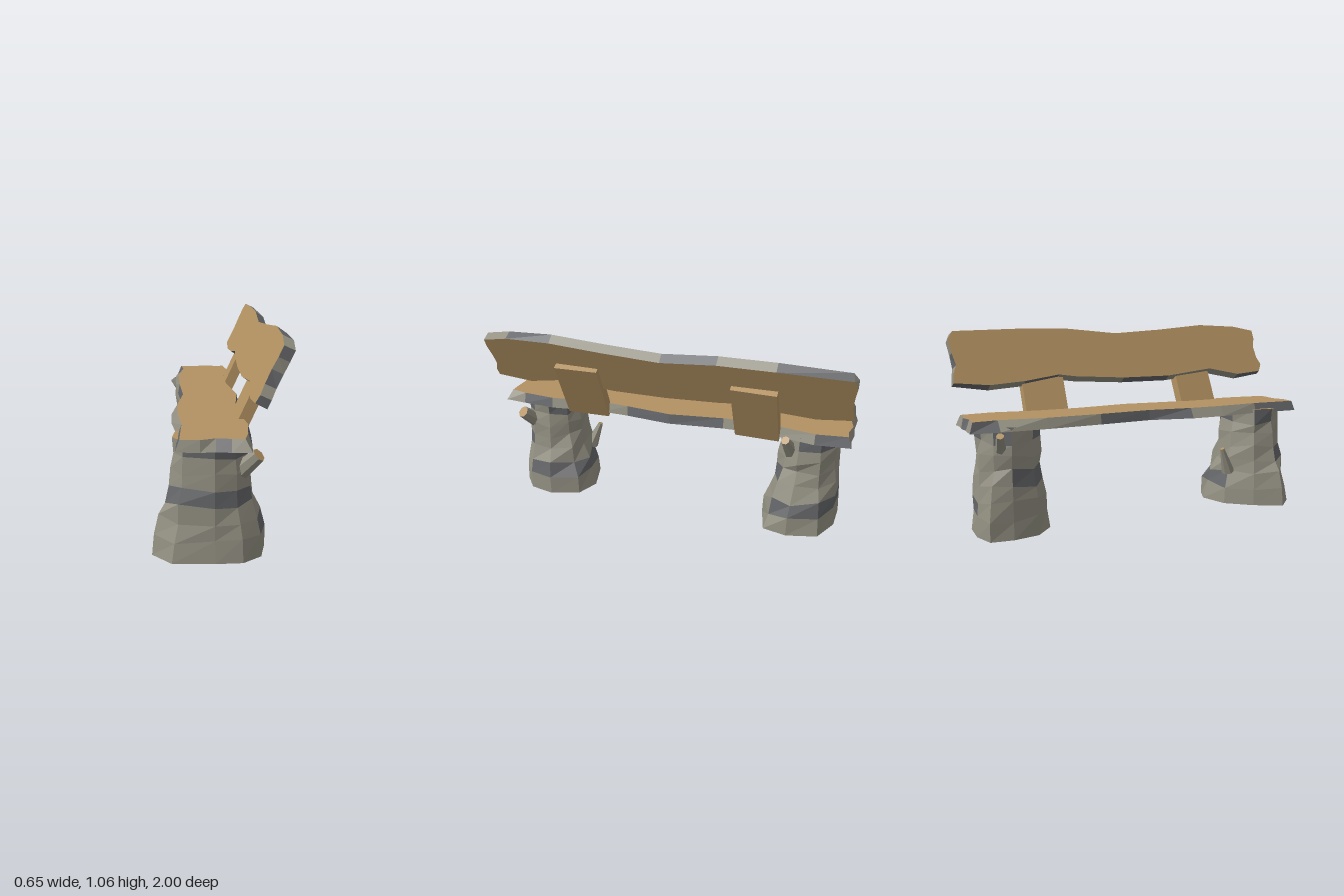
import * as THREE from 'three';

const mat = (color) => new THREE.MeshStandardMaterial({ color, flatShading: true, side: THREE.DoubleSide });
const wood = mat(0xb39262);
const bark = mat(0x949183);
const darkBark = mat(0x66676a);

// Small repeatable noise in -1..1
const noise = (n) => {
  const s = Math.sin(n * 127.1 + 3.7) * 43758.5453;
  return (s - Math.floor(s)) * 2 - 1;
};

function facetMesh(name, corners, material) {
  const geo = new THREE.BufferGeometry().setFromPoints(corners);
  geo.computeVertexNormals();
  const mesh = new THREE.Mesh(geo, material);
  mesh.name = name;
  return mesh;
}

// Joins stacked rings with bark quads, dark where isDark(band, side) says so
function barkWall(group, rings, isDark) {
  const light = [], dark = [];
  for (let k = 0; k < rings.length - 1; k++) {
    const lo = rings[k], hi = rings[k + 1], n = lo.length;
    for (let i = 0; i < n; i++) {
      const j = (i + 1) % n;
      (isDark(k, i) ? dark : light).push(lo[i], lo[j], hi[j], lo[i], hi[j], hi[i]);
    }
  }
  group.add(facetMesh('bark', light, bark), facetMesh('darkBark', dark, darkBark));
}

function cap(name, ring, up, material) {
  const flat = ring.map((p) => new THREE.Vector2(p.x, -p.z));
  const corners = [];
  for (const [a, b, c] of THREE.ShapeUtils.triangulateShape(flat, [])) {
    corners.push(ring[a], ring[up ? b : c], ring[up ? c : b]);
  }
  return facetMesh(name, corners, material);
}

// Live-edge plank; outline points are [x, z, extra x and z on the lower face]
function plank(name, outline, thickness, underside, isDark) {
  const group = new THREE.Group();
  group.name = name;
  const h = thickness / 2;
  const top = outline.map(([x, z]) => new THREE.Vector3(x, h, z));
  const low = outline.map(([x, z, dx = 0, dz = 0]) => new THREE.Vector3(x + dx, -h, z + dz));
  barkWall(group, [low, top], isDark);
  group.add(cap('upperFace', top, true, wood), cap('lowerFace', low, false, underside));
  return group;
}

// Stump flaring from a small round top to an irregular foot
const LEVELS = [[0, 0], [0.1, 0.14], [0.19, 0.42], [0.27, 0.66], [0.35, 0.88], [0.42, 0.86], [0.49, 1], [0.57, 1]];
function stump(name, foot, cx, cz, rx, rz, seed) {
  const group = new THREE.Group();
  group.name = name;
  const rings = LEVELS.map(([y, t], k) => foot.map(([x, z], i) => {
    const a = Math.atan2((z - cz) / rz, (x - cx) / rx);
    const inner = k > 0 && k < LEVELS.length - 1 ? 1 : 0;
    const w = 1 + inner * 0.05 * noise(seed + k * 13 + i);
    const px = THREE.MathUtils.lerp(x, cx + Math.cos(a) * rx, t);
    const pz = THREE.MathUtils.lerp(z, cz + Math.sin(a) * rz, t);
    const py = y + inner * 0.016 * noise(seed + 50 + k * 7 + i);
    return new THREE.Vector3(cx + (px - cx) * w, py, cz + (pz - cz) * w);
  }));
  barkWall(group, rings, (k, i) =>
    (k === 1 && i >= 4 && i <= 7) || (k === 3 && i <= 3) || (k === 6 && i % 4 !== 0));
  group.add(cap('base', rings[0], false, bark), cap('top', rings[rings.length - 1], true, wood));
  return group;
}

// Cut branch between two points, with a bare wood tip
function branch(from, to, r0, r1) {
  const a = new THREE.Vector3(...from), b = new THREE.Vector3(...to);
  const dir = b.clone().sub(a);
  const mesh = new THREE.Mesh(new THREE.CylinderGeometry(r1, r0, dir.length(), 7), [bark, wood, bark]);
  mesh.name = 'branchStub';
  mesh.position.copy(a).add(b).multiplyScalar(0.5);
  mesh.quaternion.setFromUnitVectors(new THREE.Vector3(0, 1, 0), dir.normalize());
  return mesh;
}

export function createModel() {
  const model = new THREE.Group();
  model.name = 'logBench';
  const tilt = 0.434;

  // Seat
  const seat = plank('seat', [
    [-0.18, -0.98, -0.02, -0.02], [-0.165, -0.85, -0.05], [-0.195, -0.6, -0.02], [-0.19, -0.3, -0.01],
    [-0.17, 0, -0.008], [-0.2, 0.25, -0.032], [-0.2, 0.45, -0.032], [-0.18, 0.7, -0.02],
    [-0.19, 0.97, -0.02, 0.01], [-0.1, 0.98, 0, 0.01], [-0.03, 0.955, 0, 0.03], [0.04, 0.965, 0, 0.03],
    [0.1, 0.97, 0.03, 0.03], [0.12, 0.88, 0.02], [0.135, 0.7, 0.015], [0.1, 0.4, 0.015],
    [0.11, 0.25, 0.01], [0.135, 0, 0.008], [0.095, -0.3, 0.015], [0.09, -0.55, 0.015],
    [0.13, -0.8, 0.018], [0.11, -0.97, 0.02, -0.02], [0.06, -0.965, 0, -0.02], [-0.01, -0.985, 0, -0.01],
    [-0.08, -0.97, 0, -0.02],
  ], 0.055, bark, (k, i) => [0, 3, 4, 7, 10, 13, 16, 17, 20, 23].includes(i));
  seat.position.y = 0.577;
  model.add(seat);

  // Backrest, with its local x running up the slope
  const back = plank('backrest', [
    [-0.14, -0.99], [-0.16, -0.8, -0.01], [-0.145, -0.6, -0.01], [-0.115, -0.4, -0.01],
    [-0.13, -0.3, -0.01], [-0.15, 0, -0.01], [-0.15, 0.3, -0.01], [-0.115, 0.6, -0.01],
    [-0.16, 0.8, -0.01], [-0.145, 0.97, 0, 0.02], [-0.1, 0.995], [-0.05, 0.975], [0.02, 0.97, 0, 0.01],
    [0.08, 0.99], [0.135, 0.99], [0.165, 0.85], [0.178, 0.6, -0.01], [0.15, 0.3, -0.01],
    [0.13, 0, -0.01], [0.162, -0.3, -0.01], [0.165, -0.6, -0.01], [0.155, -0.96, 0, -0.01],
    [0.11, -0.99], [0.03, -0.98], [-0.04, -0.965, 0, -0.01], [-0.09, -0.985],
  ], 0.055, wood, (k, i) => [0, 2, 5, 8, 9, 11, 13, 15, 18, 20, 23].includes(i));
  back.position.set(0.226, 0.884, 0);
  back.rotation.z = Math.PI / 2 - tilt;
  model.add(back);

  // Backrest supports
  for (const s of [1, -1]) {
    const post = new THREE.Mesh(new THREE.BoxGeometry(0.06, 0.375, 0.24), wood);
    post.name = 'backSupport';
    post.position.set(0.178, 0.713, s > 0 ? 0.48 : -0.49);
    post.rotation.set(0, s * 0.03, -tilt);
    model.add(post);
  }

  // Stumps
  const frontStump = stump('frontStump', [
    [-0.325, 0.82], [-0.23, 0.925], [-0.03, 0.935], [0.1, 0.93], [0.19, 0.86],
    [0.22, 0.72], [0.17, 0.56], [0.05, 0.5], [-0.12, 0.54], [-0.24, 0.67],
  ], -0.045, 0.76, 0.185, 0.165, 1);
  frontStump.add(
    branch([0.06, 0.385, 0.82], [0.17, 0.505, 0.88], 0.048, 0.034),
    branch([-0.1, 0.19, 0.58], [-0.12, 0.335, 0.52], 0.04, 0.013));
  const rearStump = stump('rearStump', [
    [-0.235, -0.8], [-0.21, -0.66], [-0.1, -0.56], [0.04, -0.535], [0.2, -0.57],
    [0.23, -0.7], [0.19, -0.87], [0.05, -0.945], [-0.1, -0.955], [-0.22, -0.92],
  ], -0.04, -0.765, 0.175, 0.165, 30);
  rearStump.add(
    branch([-0.15, 0.43, -0.83], [-0.235, 0.535, -0.86], 0.035, 0.02),
    branch([0.08, 0.45, -0.68], [0.16, 0.56, -0.65], 0.042, 0.024));
  model.add(frontStump, rearStump);

  return model;
}
